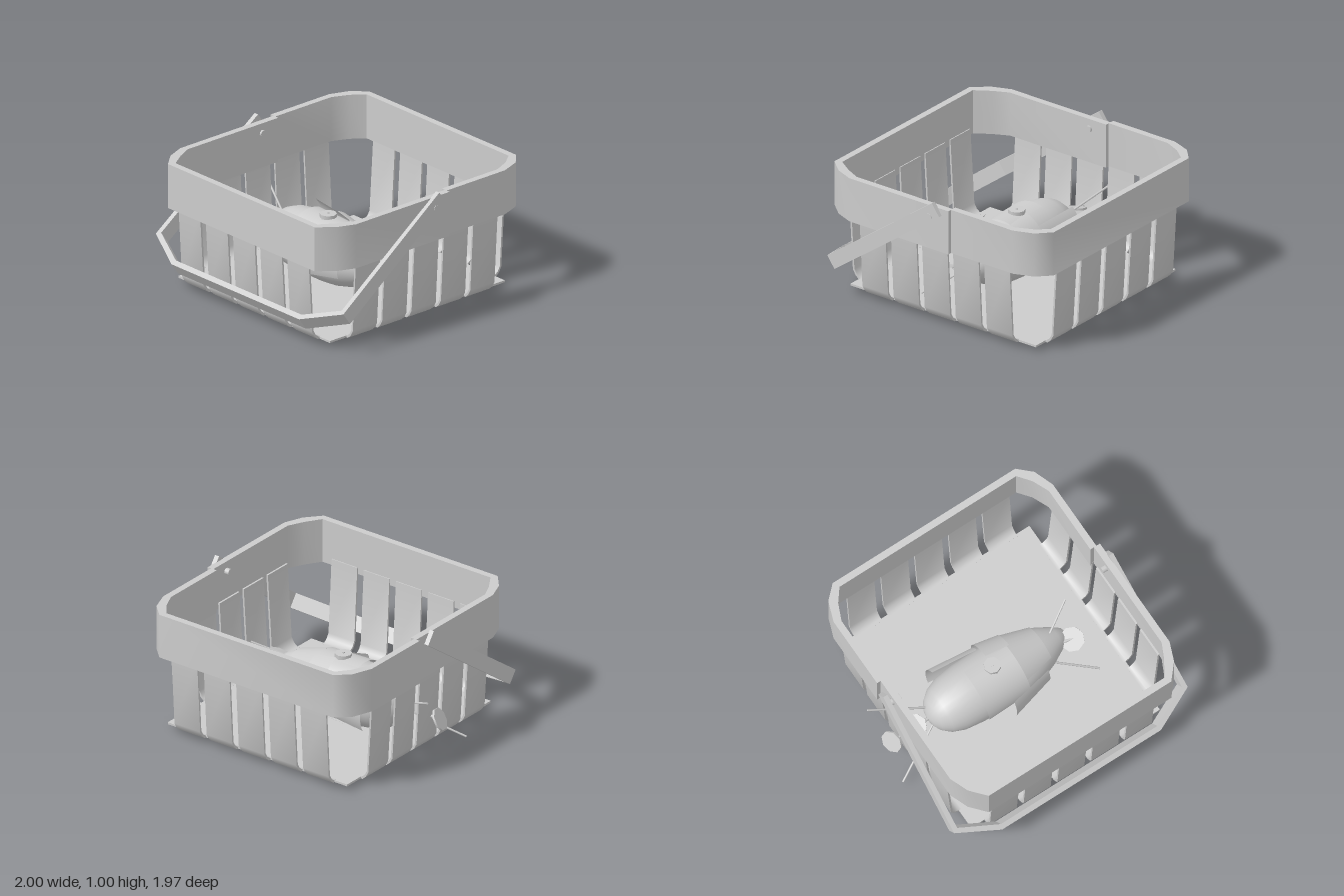
import * as THREE from 'three';
import { toCreasedNormals } from 'three/addons/utils/BufferGeometryUtils.js';

const grey = new THREE.MeshStandardMaterial({ color: 0xcccccc });
const thin = new THREE.MeshStandardMaterial({ color: 0xcccccc, side: THREE.DoubleSide });
const vecs = (pts) => pts.map(([x, y]) => new THREE.Vector2(x, y));
const polygon = (pts) => new THREE.Shape(vecs(pts));
const extrude = (shape, depth) => new THREE.ExtrudeGeometry(shape, { depth, bevelEnabled: false });

function add(parent, name, geometry, material = grey) {
  const mesh = new THREE.Mesh(geometry, material);
  mesh.name = name;
  parent.add(mesh);
  return mesh;
}

// Rim outline (x, -z), inset by t; the front half is stepped sideways
function rimOutline(t) {
  const s = 0.03, c = t * 0.5;
  const back = [[0.925 - t, 0.19], [0.925 - t, 0.74 - c], [0.87 - t, 0.89 - t], [0.77 - c, 0.985 - t]];
  const front = [[0.925 - t, 0.19], [0.925 - t, -0.69 + c], [0.87 - t, -0.83 + t], [0.77 - c, -0.945 + t]];
  const mirror = (pts) => pts.map(([x, y]) => [-x, y]);
  const shift = (pts) => pts.map(([x, y]) => [x + s, y]);
  return [...back, ...mirror(back).reverse(), ...shift(mirror(front)), ...shift(front).reverse()];
}

// Strip between two points
function rod(parent, name, from, to, radius) {
  const a = new THREE.Vector3(...from), b = new THREE.Vector3(...to);
  const dir = b.clone().sub(a);
  const mesh = add(parent, name, new THREE.CylinderGeometry(radius, radius, dir.length(), 6));
  mesh.position.copy(a).add(b).multiplyScalar(0.5);
  mesh.quaternion.setFromUnitVectors(new THREE.Vector3(0, 1, 0), dir.normalize());
}

function createBasket() {
  const basket = new THREE.Group();
  basket.name = 'basket';

  // Rim band
  const rimShape = polygon(rimOutline(0));
  rimShape.holes.push(new THREE.Path(vecs(rimOutline(0.05))));
  const rim = extrude(rimShape, 0.335).rotateX(-Math.PI / 2);
  add(basket, 'rim', toCreasedNormals(rim, 0.85)).position.y = 0.63;

  // Floor
  add(basket, 'floor', new THREE.BoxGeometry(1.59, 0.015, 1.65)).position.set(0.005, 0.05, -0.025);

  // Five bent slats on each side
  const profile = polygon([
    [-0.02, 0.043], [0.015, 0.043], [0.045, 0.07], [0.067, 0.11], [0.102, 0.68],
    [0.088, 0.68], [0.053, 0.115], [0.033, 0.08], [0.005, 0.058], [-0.02, 0.058],
  ]);
  const width = 0.228;
  const slat = toCreasedNormals(extrude(profile, width).translate(0, 0, -width / 2), 0.7);
  const sides = [
    ['leftSlat', 0, 0.80, 0], ['rightSlat', Math.PI, -0.79, 0],
    ['frontSlat', -Math.PI / 2, 0, 0.80], ['backSlat', Math.PI / 2, 0, -0.85],
  ];
  for (const [name, angle, x, z] of sides) {
    for (let i = -2; i <= 2; i++) {
      const mesh = add(basket, name, slat);
      mesh.rotation.y = angle;
      mesh.position.set(x || 0.005 + i * 0.285, 0, z || -0.025 + i * 0.277);
    }
  }

  // Swinging handle, lowered to the front
  const outer = [[0.97, -0.005], [0.985, 1.13], [0.67, 1.296]];
  const inner = [[0.935, -0.005], [0.948, 1.108], [0.66, 1.256]];
  const flip = (pts) => pts.map(([x, y]) => [-x, y]);
  const handleShape = polygon([
    ...outer, ...flip(outer).reverse(), ...flip(inner), ...[...inner].reverse(),
  ]);
  const handle = add(basket, 'handle', extrude(handleShape, 0.11).translate(0, 0, -0.055));
  handle.rotation.x = 2.197;
  handle.position.set(0.015, 0.955, -0.095);

  // Hinge pins
  for (const x of [0.93, -0.89]) {
    const pin = add(basket, 'hingePin', new THREE.CylinderGeometry(0.025, 0.025, 0.12, 10));
    pin.rotation.z = Math.PI / 2;
    pin.position.set(x, 0.89, -0.04);
  }
  return basket;
}

function createOccupant() {
  const occupant = new THREE.Group();
  occupant.name = 'shelledBody';
  const axis = new THREE.Group();
  axis.name = 'bodyCore';
  axis.rotation.z = -Math.PI / 2;
  axis.position.set(0, 0.268, 0.015);
  occupant.add(axis);

  // Rounded, tapering body lying along x
  add(axis, 'body', new THREE.LatheGeometry(vecs([
    [0, -0.64], [0.07, -0.625], [0.125, -0.59], [0.175, -0.53], [0.21, -0.44], [0.228, -0.3],
    [0.232, -0.05], [0.222, 0.1], [0.195, 0.22], [0.15, 0.34], [0.09, 0.45], [0.045, 0.51], [0, 0.53],
  ]), 28));

  // Flared shell plates: start radius/x, end radius/x, start and sweep angle
  const plates = [
    [0.292, -0.46, 0.255, -0.1, 0.9, 1.0], [0.262, -0.46, 0.236, 0, 0.38, 0.3],
    [0.272, -0.09, 0.236, 0.1, 0.9, 0.5], [0.315, -0.09, 0.225, 0.25, -0.15, 0.25],
    [0.248, -0.28, 0.238, 0.08, 1.4, 0.6], [0.238, 0.08, 0.165, 0.32, 1.0, 0.8],
  ];
  plates[0][4] = 0.85; plates[0][5] = 0.4;
  for (const [r0, x0, r1, x1, start, sweep] of plates) {
    const plate = new THREE.LatheGeometry(vecs([[r0, x0], [r1, x1]]), 12, start * Math.PI, sweep * Math.PI);
    add(axis, 'shellPlate', plate, thin);
  }

  // Button on top
  const button = add(occupant, 'button', new THREE.CylinderGeometry(0.062, 0.062, 0.035, 8));
  button.position.set(-0.09, 0.515, 0.015);
  rod(occupant, 'buttonStem', [-0.09, 0.45, 0.015], [-0.09, 0.54, 0.015], 0.01);

  // Eight-sided paddles at both ends: position, tilt, radius
  const paddles = [
    [[-0.94, 0.27, 0.02], [0.5, 0, 1.0], 0.085], [[-0.75, 0.29, 0.02], [0.2, 0, 0.25], 0.09],
    [[0.53, 0.30, 0.095], [0.3, 0, 0.25], 0.09],
  ];
  for (const [position, tilt, radius] of paddles) {
    const paddle = add(occupant, 'paddle', new THREE.CylinderGeometry(radius, radius, 0.015, 8));
    paddle.position.set(...position);
    paddle.rotation.set(...tilt);
  }
  rod(occupant, 'paddleStem', [-0.94, 0.27, 0.02], [-0.6, 0.28, 0.02], 0.012);
  rod(occupant, 'paddleStem', [0.55, 0.30, 0.095], [0.35, 0.29, 0.05], 0.012);

  // Thin limbs
  const limbs = [
    [[-1.0, 0.5, -0.2], [-0.58, 0.31, -0.03]], [[-1.0, 0.06, 0.25], [-0.58, 0.25, 0.04]],
    [[0.62, 0.46, -0.13], [0.33, 0.34, 0.04]], [[0.62, 0.06, 0.31], [0.33, 0.2, 0.12]],
  ];
  for (const [from, to] of limbs) rod(occupant, 'limb', from, to, 0.008);
  return occupant;
}

export function createModel() {
  const model = new THREE.Group();
  model.name = 'basketWithShelledBody';
  model.add(createBasket(), createOccupant());
  return model;
}
